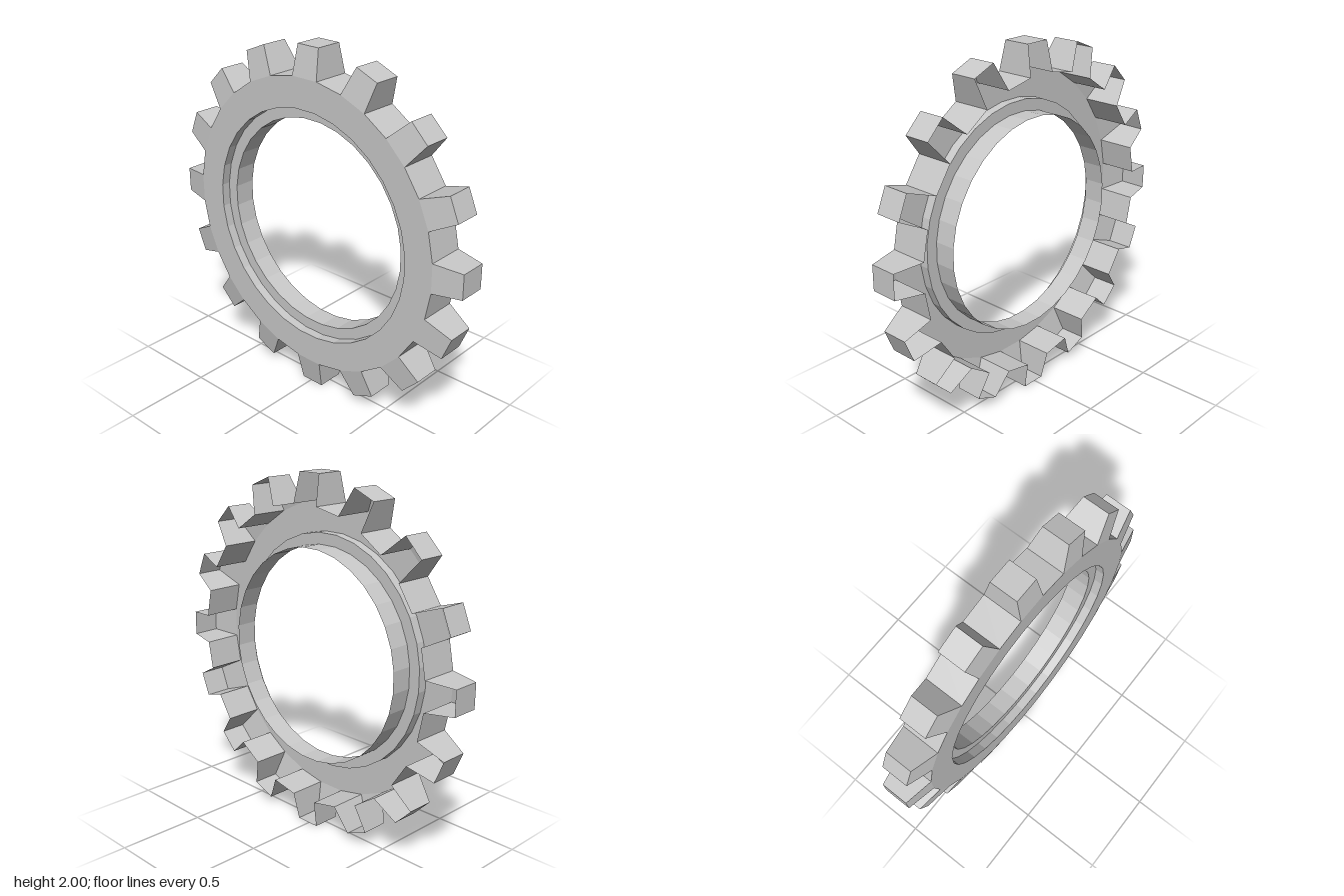
import * as THREE from 'three';

const TEETH = 16;
const ROOT = 0.84, TIP = 1.0025;          // tooth corner radii
const HALF = 0.11, TIP_HALF = 0.078;      // half depths in z
const rad = THREE.MathUtils.degToRad;

// point on a very slightly oval ring of radius r, angle a, depth z
const at = (r, a, z) => {
  const s = r * (1 - 0.007 * Math.sin(2 * a));
  return [s * Math.cos(a), s * Math.sin(a), z];
};

// flat quads, corners counter-clockwise from outside
function quadMesh(quads, material, name) {
  const pos = [];
  for (const [a, b, c, d] of quads) pos.push(...a, ...b, ...c, ...a, ...c, ...d);
  const geo = new THREE.BufferGeometry();
  geo.setAttribute('position', new THREE.Float32BufferAttribute(pos, 3));
  geo.computeVertexNormals();
  const mesh = new THREE.Mesh(geo, material);
  mesh.name = name;
  return mesh;
}

export function createModel() {
  const group = new THREE.Group();
  group.name = 'gearRing';
  const metal = new THREE.MeshStandardMaterial({ color: 0xc8c8c8, side: THREE.DoubleSide });
  metal.name = 'greyMetal';

  // tooth centre angles, very slightly skewed, with root and tip edges
  const centre = (i) => {
    const a = (i * Math.PI * 2) / TEETH;
    return a + rad(0.2 - 0.42 * Math.cos(2 * a));
  };
  const rootHalf = rad(5.7), tipHalf = rad(4.05);

  // shell cross-section (radius, z): outer rim, front face, step, inner wall; open at the back
  const profile = [
    [ROOT, -HALF], [ROOT, HALF], [0.67, HALF], [0.67, 0.057],
    [0.605, 0.057], [0.605, -0.067],
  ];
  const ring = [];
  const sweep = (a0, a1, first) => {
    for (let k = first; k < profile.length - 1; k++) {
      const [r, z] = profile[k], [s, w] = profile[k + 1];
      ring.push([at(r, a0, z), at(r, a1, z), at(s, a1, w), at(s, a0, w)]);
    }
  };

  const teeth = new THREE.Group();
  teeth.name = 'teeth';
  for (let i = 0; i < TEETH; i++) {
    const c = centre(i), a0 = c - rootHalf, a1 = c + rootHalf;
    sweep(a0, a1, 1);                             // under a tooth: rim left open
    sweep(a1, centre(i + 1) - rootHalf, 0);       // valley between teeth

    // tapered tooth, open at the back
    const root = (a, s) => at(ROOT, a, s * HALF);
    const tip = (s, t) => at(TIP, c + s * tipHalf, t * TIP_HALF);
    teeth.add(quadMesh([
      [tip(-1, -1), tip(1, -1), tip(1, 1), tip(-1, 1)],
      [tip(-1, 1), tip(1, 1), root(a1, 1), root(a0, 1)],
      [root(a1, -1), root(a1, 1), tip(1, 1), tip(1, -1)],
      [root(a0, -1), tip(-1, -1), tip(-1, 1), root(a0, 1)],
    ], metal, 'tooth'));
  }
  group.add(quadMesh(ring, metal, 'ringBody'), teeth);
  for (const part of group.children) part.position.y = 1;
  return group;
}
